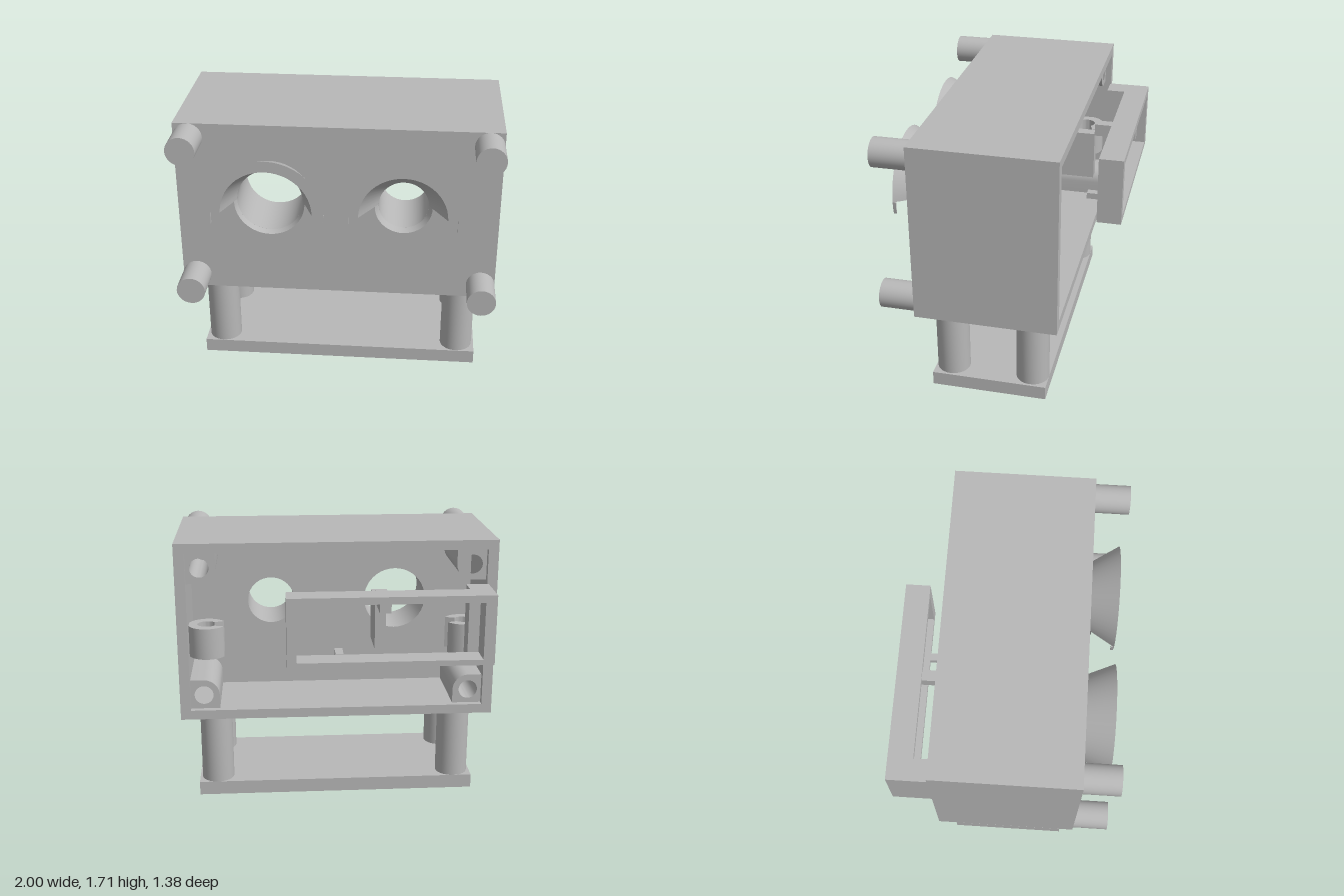
import * as THREE from 'three';
import { toCreasedNormals } from 'three/addons/utils/BufferGeometryUtils.js';

export function createModel() {
  const grey = new THREE.MeshStandardMaterial({ color: 0xb8b8b8 });
  grey.name = 'plainGrey';
  const model = new THREE.Group();
  model.name = 'sensorHousing';

  const add = (name, geometry, parent = model) => {
    const mesh = new THREE.Mesh(geometry, grey);
    mesh.name = name;
    parent.add(mesh);
    return mesh;
  };
  // Box given by its limits
  const box = (name, x0, x1, y0, y1, z0, z1, parent) =>
    add(name, new THREE.BoxGeometry(x1 - x0, y1 - y0, z1 - z0), parent)
      .position.set((x0 + x1) / 2, (y0 + y1) / 2, (z0 + z1) / 2);
  const rect = (x0, x1, y0, y1, Type = THREE.Shape) => {
    const s = new Type();
    s.moveTo(x0, y0).lineTo(x1, y0).lineTo(x1, y1).lineTo(x0, y1).closePath();
    return s;
  };
  const hole = (x, y, r) => new THREE.Path().absarc(x, y, r, 0, Math.PI * 2, true);
  const extrude = (shape, z0, z1) => {
    const g = new THREE.ExtrudeGeometry(shape, { depth: z1 - z0, bevelEnabled: false, curveSegments: 20 });
    return toCreasedNormals(g.translate(0, 0, z0), 0.6);
  };

  const eyeY = 1.21;
  const eyes = [
    { name: 'rightEye', x: -0.42, inner: [0.205, 0.28], outer: [0.27, 0.35] },
    { name: 'leftEye', x: 0.41, inner: [0.155, 0.27], outer: [0.223, 0.34] },
  ];

  // Housing: thick pierced front and thin walls open to the back
  const front = rect(-1, 1, 0.57, 1.71);
  eyes.forEach((e) => front.holes.push(hole(e.x, eyeY, e.inner[0])));
  add('housingFront', extrude(front, 0.1, 0.47));
  const walls = rect(-1, 1, 0.57, 1.71);
  walls.holes.push(rect(-0.935, 0.935, 0.63, 1.65, THREE.Path));
  add('housingWalls', extrude(walls, -0.42, 0.1));

  // Flared eye shades: short lower lip, long upper hood
  const zBack = 0.47, zLip = 0.505, zTip = 0.655;
  const at = (pair, z) => THREE.MathUtils.lerp(pair[0], pair[1], (z - zBack) / (zTip - zBack));
  for (const e of eyes) {
    const eye = new THREE.Group();
    eye.name = e.name;
    eye.position.set(e.x, eyeY, 0);
    model.add(eye);
    const profile = (z) => [
      [e.inner[0], zBack], [e.outer[0], zBack], [at(e.outer, z), z], [at(e.inner, z), z], [e.inner[0], zBack],
    ].map((p) => new THREE.Vector2(...p));
    const half = (name, z, start) => {
      const g = new THREE.LatheGeometry(profile(z), 24, start, Math.PI).rotateX(Math.PI / 2);
      add(name, toCreasedNormals(g, 0.6), eye);
    };
    half('eyeLip', zLip, -Math.PI / 2);
    half('eyeHood', zTip, Math.PI / 2);
    for (const side of [-1, 1]) {
      const cut = new THREE.Shape(profile(zTip).slice(0, 4).map((p) => new THREE.Vector2(side * p.x, p.y)));
      add('hoodEnd', new THREE.ShapeGeometry(cut).rotateX(Math.PI / 2), eye);
      const r = e.outer[1];
      const spur = new THREE.Shape([[r - 0.01, 0], [r - 0.01, -0.08], [r - 0.003, -0.04], [r, 0]]
        .map(([x, y]) => new THREE.Vector2(side * x, y)));
      add('hoodSpur', extrude(spur, 0.635, zTip), eye);
    }
  }

  // Front pegs and the drilled corner posts inside
  for (const sx of [-1, 1]) {
    for (const top of [false, true]) {
      const peg = add('frontPeg', new THREE.CylinderGeometry(0.09, 0.09, 0.22, 32).rotateX(Math.PI / 2));
      peg.position.set(sx * 0.91, top ? 1.62 : 0.66, 0.58);

      const cx = sx * 0.85, cy = top ? 1.55 : 0.72, sy = top ? 1 : -1, r = 0.1;
      const post = new THREE.Shape();
      const wx = sx * 0.94, wy = top ? 1.655 : 0.625;
      post.moveTo(wx, wy).lineTo(cx - sx * r, wy).lineTo(cx - sx * r, cy);
      for (let i = 1; i <= 8; i++) {
        const a = (i / 8) * Math.PI / 2;
        post.lineTo(cx - sx * r * Math.cos(a), cy - sy * r * Math.sin(a));
      }
      post.lineTo(wx, cy - sy * r).closePath();
      post.holes.push(hole(cx, cy, 0.06));
      add('cornerPost', extrude(post, -0.38, 0.1));
    }

    // Upright C-shaped clip on each inner side wall
    const clip = new THREE.Shape();
    clip.absarc(0, 0, 0.12, 0.5, Math.PI * 2 - 0.5, false);
    clip.absarc(0, 0, 0.06, Math.PI * 2 - 0.7, 0.7, true);
    const clipMesh = add('sideClip', extrude(clip, -0.1, 0.1).rotateX(-Math.PI / 2));
    clipMesh.position.set(sx * 0.82, 1.06, -0.27);
    clipMesh.rotation.y = sx > 0 ? Math.PI : 0;
  }

  // Base plate with screw holes and hollow legs
  const legX = 0.785, legZ = [0.29, -0.23];
  const plate = rect(-0.905, 0.905, -0.4, 0.335);
  for (const x of [-legX, legX]) {
    for (const z of legZ) {
      plate.holes.push(hole(x, -z, 0.04));
      const wall = [[0.04, 0.09], [0.105, 0.09], [0.105, 0.57], [0.04, 0.57], [0.04, 0.09]]
        .map((p) => new THREE.Vector2(...p));
      add('leg', toCreasedNormals(new THREE.LatheGeometry(wall, 32), 0.6)).position.set(x, 0, z);
    }
  }
  add('basePlate', extrude(plate, 0, 0.09).rotateX(-Math.PI / 2));

  // Rear bracket: rectangular frame, end post, cross arm and tabs
  const bracket = new THREE.Group();
  bracket.name = 'rearBracket';
  model.add(bracket);
  const frame = rect(-0.945, 0.325, 0.99, 1.43);
  frame.holes.push(rect(-0.875, 0.265, 1.025, 1.385, THREE.Path));
  add('rearFrame', extrude(frame, -0.69, -0.535), bracket);
  box('endPost', -0.945, -0.805, 0.99, 1.43, -0.535, -0.415, bracket);
  box('crossArm', -0.305, -0.235, 1.33, 1.41, -0.69, -0.42, bracket);
  box('innerPlate', -0.305, -0.235, 1.02, 1.34, -0.42, -0.15, bracket);
  box('lowerTab', -0.03, 0.02, 0.99, 1.03, -0.535, -0.42, bracket);

  return model;
}
